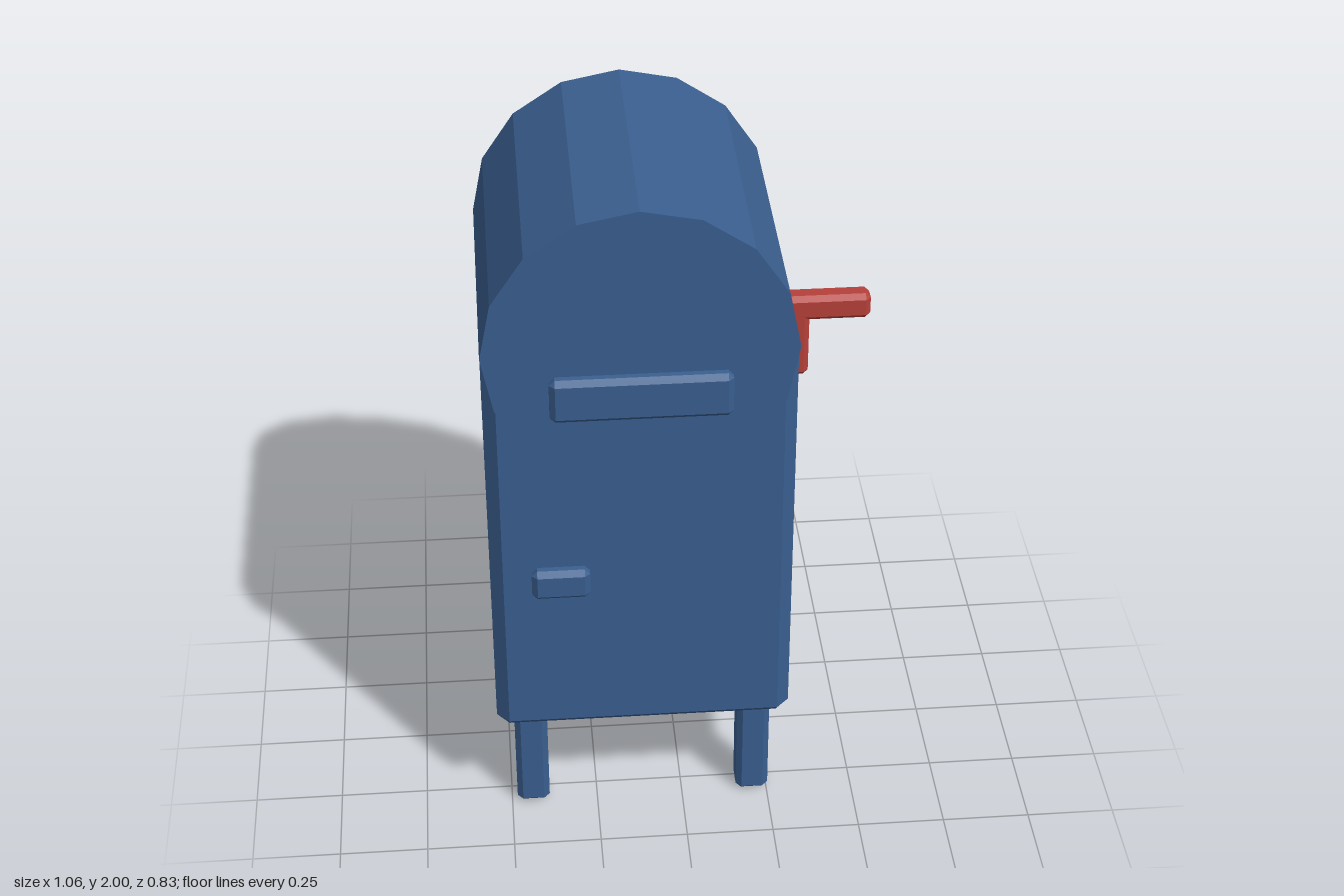
import * as THREE from 'three';
import { ConvexGeometry } from 'three/addons/geometries/ConvexGeometry.js';

// Box between two corners with every edge bevelled by c
function bevelBox([x0, y0, z0], [x1, y1, z1], c) {
  const centre = new THREE.Vector3((x0 + x1) / 2, (y0 + y1) / 2, (z0 + z1) / 2);
  const half = new THREE.Vector3((x1 - x0) / 2, (y1 - y0) / 2, (z1 - z0) / 2);
  const points = [];
  for (const sx of [-1, 1]) for (const sy of [-1, 1]) for (const sz of [-1, 1]) {
    for (const axis of [0, 1, 2]) {
      const inset = half.clone().subScalar(c);
      inset.setComponent(axis, half.getComponent(axis));
      points.push(inset.multiply(new THREE.Vector3(sx, sy, sz)).add(centre));
    }
  }
  return new ConvexGeometry(points);
}

export function createModel() {
  const model = new THREE.Group();
  model.name = 'mailbox';
  const blue = new THREE.MeshStandardMaterial({ name: 'postal blue', color: 0x3a5f8f, flatShading: true });
  const red = new THREE.MeshStandardMaterial({ name: 'flag red', color: 0xb5403a, flatShading: true });

  const add = (name, geometry, material, parent = model) => {
    const mesh = new THREE.Mesh(geometry, material);
    mesh.name = name;
    parent.add(mesh);
    return mesh;
  };

  // Body
  add('body', bevelBox([-0.533, 0.33, -0.415], [0.302, 1.585, 0.385], 0.035), blue);

  // Sixteen-sided barrel roof lying along z
  const roof = new THREE.CylinderGeometry(0.418, 0.418, 0.8, 16);
  roof.rotateX(Math.PI / 2);
  add('roof', roof, blue).position.set(-0.1155, 1.582, -0.015);

  // Four legs
  for (const x of [-0.437, 0.207]) for (const z of [0.277, -0.302]) {
    add('leg', bevelBox([x - 0.047, 0, z - 0.047], [x + 0.047, 0.335, z + 0.047], 0.016), blue);
  }

  // Mail slot cover and door handle on the front
  add('mailSlot', bevelBox([-0.357, 1.39, 0.35], [0.127, 1.52, 0.417], 0.015), blue);
  add('doorHandle', bevelBox([-0.42, 0.812, 0.35], [-0.26, 0.905, 0.417], 0.015), blue);

  // L-shaped signal flag on the left side
  const flag = new THREE.Group();
  flag.name = 'flag';
  model.add(flag);
  add('flagPost', bevelBox([0.285, 1.3, 0.032], [0.365, 1.55, 0.095], 0.014), red, flag);
  add('flagArm', bevelBox([0.285, 1.475, 0.032], [0.531, 1.55, 0.095], 0.014), red, flag);

  return model;
}
